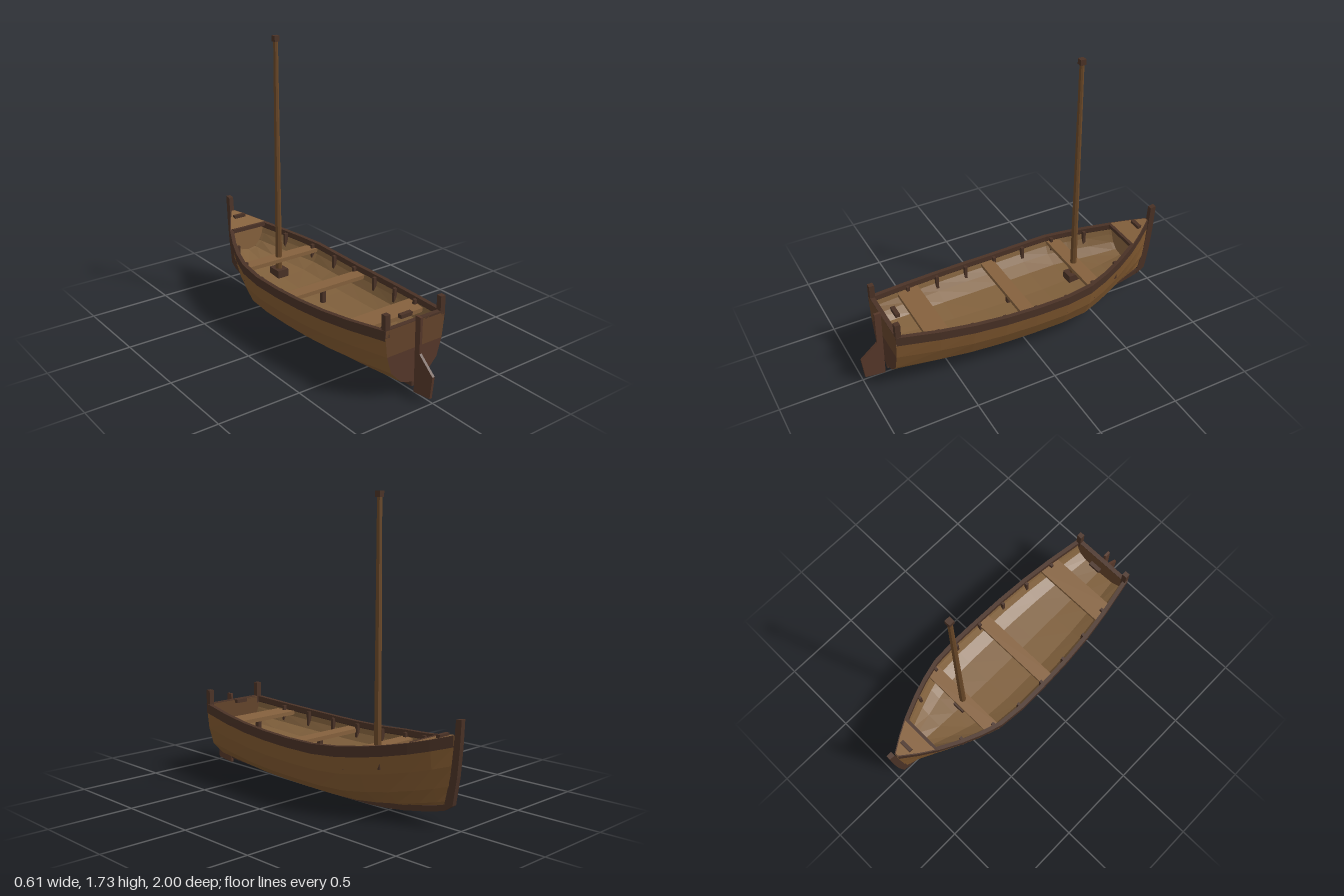
import * as THREE from 'three';

const mat = (color) => new THREE.MeshStandardMaterial({ color, flatShading: true, side: THREE.DoubleSide });
const PLANK = mat(0x80582f), INSIDE = mat(0x80603c), SEAT = mat(0x85613d), DARK = mat(0x4a3226), TRANSOM = mat(0x553729), MAST = mat(0x6a4828);

// Stations from stern to bow: z, half width, sheer height, bottom height
const STATIONS = [
  [0.85, 0.205, 0.42, 0.06], [0.6, 0.25, 0.395, 0.045], [0.4, 0.277, 0.38, 0.033], [0.2, 0.293, 0.37, 0.027],
  [0, 0.3, 0.365, 0.025], [-0.2, 0.302, 0.368, 0.025], [-0.37, 0.288, 0.382, 0.028], [-0.5, 0.25, 0.397, 0.037],
  [-0.62, 0.203, 0.415, 0.052], [-0.75, 0.14, 0.44, 0.077], [-0.85, 0.08, 0.465, 0.1], [-0.95, 0.01, 0.493, 0.13],
];
// Strake lines: height fraction, width fraction amidships, width fraction at the bow
const STRAKES = [[1, 1, 1], [0.84, 0.99, 0.94], [0.57, 0.935, 0.77], [0.28, 0.78, 0.52], [0.07, 0.42, 0.22], [0, 0, 0]];

function station(z) {
  let i = 0;
  while (i < STATIONS.length - 2 && z < STATIONS[i + 1][0]) i++;
  const a = STATIONS[i], b = STATIONS[i + 1], t = (z - a[0]) / (b[0] - a[0]);
  return a.map((v, k) => v + (b[k] - v) * t);
}

// Half section of the outer hull from gunwale to keel
function halfSection(z) {
  const [, w, s, b] = station(z);
  const v = THREE.MathUtils.clamp((-z - 0.4) / 0.55, 0, 1);
  return STRAKES.map(([h, mid, bow]) => [w * (mid + (bow - mid) * v), b + (s - b) * h, z]);
}

// Half section of the shallow inner lining: steep sides and a raised, gently dished floor
function liningSection(z) {
  const [, w, s] = station(z);
  return halfSection(z).map(([x, y]) => [Math.max(0, w * (x / w) ** 0.6 - 0.012), s - (s - y) * 0.45, z]);
}
const mirrored = (half) => [...half, ...half.slice(0, -1).reverse().map(([x, y, z]) => [-x, y, z])];

// Skin joining rows of points
function loft(rows, closed = false) {
  const n = rows[0].length, index = [];
  for (let r = 0; r < rows.length - 1; r++)
    for (let c = 0; c < (closed ? n : n - 1); c++) {
      const a = r * n + c, b = r * n + (c + 1) % n;
      index.push(a, b, a + n, b, b + n, a + n);
    }
  const g = new THREE.BufferGeometry();
  g.setAttribute('position', new THREE.Float32BufferAttribute(rows.flat(2), 3));
  g.setIndex(index);
  g.computeVertexNormals();
  return g;
}

const polygon = (pts) => new THREE.Shape(pts.map(([a, b]) => new THREE.Vector2(a, b)));

// Plate drawn in the (z, y) plane and centred on x = 0
function sidePlate(pts, width) {
  return new THREE.ExtrudeGeometry(polygon(pts), { depth: width, bevelEnabled: false })
    .translate(0, 0, -width / 2).rotateY(-Math.PI / 2);
}

export function createModel() {
  const boat = new THREE.Group();
  boat.name = 'sailingBoat';
  const add = (name, geometry, material) => {
    const m = new THREE.Mesh(geometry, material);
    m.name = name;
    boat.add(m);
    return m;
  };
  const box = (name, material, w, h, d, x, y, z) =>
    add(name, new THREE.BoxGeometry(w, h, d), material).position.set(x, y, z);
  const zs = STATIONS.map((s) => s[0]);
  const floorAt = (z) => liningSection(z).at(-1)[1];

  // Hull skins
  add('hullPlanking', loft(zs.map((z) => mirrored(halfSection(z)))), PLANK);
  add('hullLining', loft(zs.map((z) => mirrored(liningSection(z)))), INSIDE);

  // Gunwale rails wrapping the top strake
  for (const side of [1, -1])
    add(side > 0 ? 'leftRail' : 'rightRail', loft(zs.map((z) => {
      const [top, low] = halfSection(z);
      const inner = side * Math.max(0, top[0] - 0.022);
      return [[side * (top[0] + 0.004), top[1] + 0.002, z], [side * (low[0] + 0.004), low[1], z],
        [inner, top[1] - 0.03, z], [inner, top[1] + 0.002, z]];
    }), true), DARK);

  // Transom in two boards
  const stern = halfSection(0.85);
  const board = (name, pts, material) => add(name, new THREE.ExtrudeGeometry(
    polygon([...pts, ...pts.slice().reverse().map(([x, y]) => [-x, y])]),
    { depth: 0.028, bevelEnabled: false }), material).position.z = 0.822;
  board('transomUpper', stern.slice(0, 3), mat(0x63432a));
  board('transomLower', stern.slice(2), TRANSOM);
  box('transomCap', DARK, 0.38, 0.012, 0.028, 0, 0.417, 0.836);
  for (const x of [0.192, -0.192]) box('sternPost', DARK, 0.032, 0.13, 0.032, x, 0.443, 0.834);

  // Keel and stem
  const bottom = [...STATIONS.filter((s) => s[0] > -0.9), station(-0.9)];
  add('keel', sidePlate([...bottom.map((s) => [s[0], s[3] - 0.025]),
    ...bottom.slice().reverse().map((s) => [s[0], s[3] + 0.008])], 0.026), DARK);
  add('stem', sidePlate([[-0.964, 0.58], [-1, 0.585], [-0.992, 0.43], [-0.978, 0.28], [-0.952, 0.125],
    [-0.9, 0.09], [-0.9, 0.13], [-0.935, 0.28], [-0.952, 0.43]], 0.03), DARK);

  // Rudder
  add('rudder', sidePlate([[0.856, 0.455], [0.895, 0.455], [0.895, 0.245], [1, 0.155], [0.985, 0.02], [0.862, 0.005]], 0.016), TRANSOM);

  // Ribs standing between floor and rail
  for (let i = -3; i <= 3; i++)
    for (const side of [1, -1]) {
      const z = i * 0.2, [, w, s] = station(z);
      box('rib', DARK, 0.024, 0.12, 0.018, side * (w - 0.029), s - 0.07, z);
    }

  // Thwarts just below the rail, ends shaped to the hull
  for (const [z0, z1] of [[0.53, 0.665], [0, 0.085], [-0.46, -0.375]]) {
    const zc = (z0 + z1) / 2, y = station(zc)[2] - 0.05;
    const a = station(z0)[1] - 0.016, b = station(z1)[1] - 0.016;
    const seat = new THREE.ExtrudeGeometry(polygon([[-a, -z0], [a, -z0], [b, -z1], [-b, -z1]]),
      { depth: 0.024, bevelEnabled: false }).rotateX(-Math.PI / 2);
    add('thwart', seat, SEAT).position.y = y - 0.012;
    if (z0 > -0.1) box('thwartPost', DARK, 0.026, y - floorAt(zc), 0.026, 0, (y + floorAt(zc)) / 2 - 0.006, zc);
  }

  // Foredeck, beam and bulkhead
  const deckRow = (z) => {
    const [, w, s] = station(z);
    return [[w - 0.004, s + 0.004, z], [-w + 0.004, s + 0.004, z]];
  };
  add('foredeck', loft([-0.765, -0.85, -0.945].map(deckRow)), SEAT);
  const [, beamW, beamY] = station(-0.76);
  box('deckBeam', DARK, beamW * 2 - 0.03, 0.024, 0.02, 0, beamY - 0.007, -0.757);
  const bulk = liningSection(-0.765);
  add('bulkhead', loft([bulk, bulk.map(([x, y, z]) => [-x, y, z])]), SEAT);

  // Cleats at bow and stern
  box('bowCleat', DARK, 0.08, 0.022, 0.024, 0, 0.48, -0.87);
  box('sternCleat', DARK, 0.08, 0.022, 0.026, 0, 0.424, 0.768);

  // Mast with step and cap
  add('mast', new THREE.CylinderGeometry(0.014, 0.021, 1.48, 8), MAST).position.set(0, 0.96, -0.415);
  box('mastStep', DARK, 0.075, 0.05, 0.095, 0, floorAt(-0.415) + 0.022, -0.415);
  box('mastCap', DARK, 0.034, 0.034, 0.034, 0, 1.71, -0.415);

  return boat;
}
